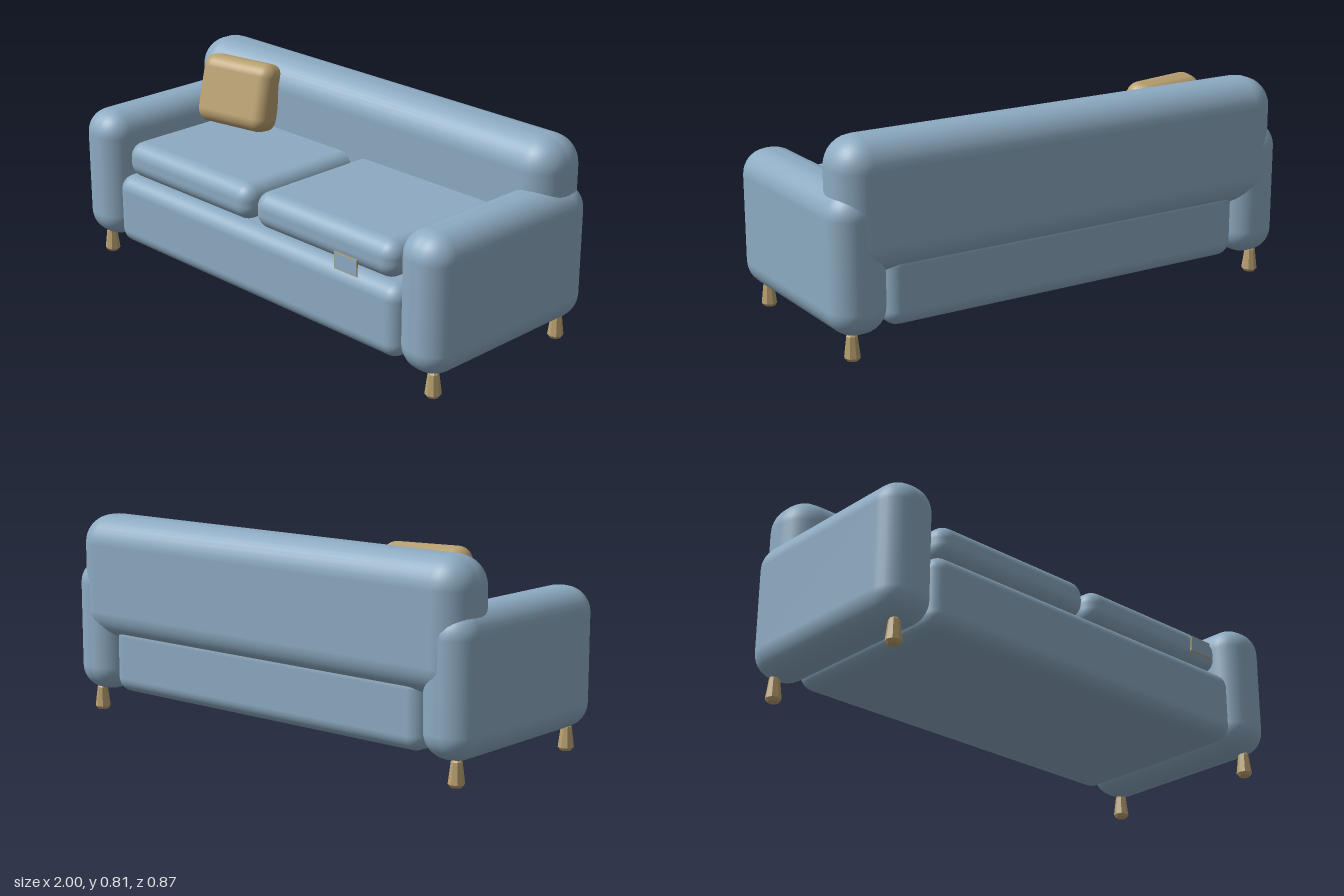
import * as THREE from 'three';
import { RoundedBoxGeometry } from 'three/addons/geometries/RoundedBoxGeometry.js';

export function createModel() {
  const sofa = new THREE.Group();
  sofa.name = 'sofa';

  const fabric = new THREE.MeshStandardMaterial({ color: 0x8dabc2 });
  fabric.name = 'blueFabric';
  const tan = new THREE.MeshStandardMaterial({ color: 0xb9a070 });
  tan.name = 'tan';

  const add = (name, geometry, material, x, y, z) => {
    const mesh = new THREE.Mesh(geometry, material);
    mesh.name = name;
    mesh.position.set(x, y, z);
    sofa.add(mesh);
    return mesh;
  };

  // Padded block given by its limits on each axis
  const padded = (name, [x0, x1], [y0, y1], [z0, z1], radius, material = fabric) =>
    add(name, new RoundedBoxGeometry(x1 - x0, y1 - y0, z1 - z0, 4, radius), material,
      (x0 + x1) / 2, (y0 + y1) / 2, (z0 + z1) / 2);

  // Body
  padded('base', [-0.79, 0.79], [0.10, 0.388], [-0.40, 0.40], 0.06);
  padded('backrest', [-0.97, 0.97], [0.31, 0.813], [-0.435, -0.178], 0.115);
  padded('rightArm', [-1, -0.777], [0.09, 0.63], [-0.43, 0.42], 0.1);
  padded('leftArm', [0.777, 1], [0.09, 0.63], [-0.43, 0.42], 0.1);

  // Seat cushions
  padded('rightSeatCushion', [-0.75, -0.012], [0.388, 0.535], [-0.24, 0.377], 0.062);
  padded('leftSeatCushion', [0.008, 0.745], [0.388, 0.535], [-0.24, 0.377], 0.062);

  // Throw pillow leaning into the corner
  const pillow = add('throwPillow', new RoundedBoxGeometry(0.355, 0.285, 0.135, 4, 0.055), tan,
    -0.605, 0.664, -0.12);
  pillow.rotation.set(-0.27, 0.19, 0, 'YXZ');

  // Tapered faceted legs with a bevelled foot
  const legGeometry = new THREE.LatheGeometry([
    [0, 0], [0.022, 0], [0.031, 0.012], [0.021, 0.092], [0.015, 0.1], [0, 0.1],
  ].map(([r, y]) => new THREE.Vector2(r, y)), 8).toNonIndexed();
  legGeometry.computeVertexNormals();
  for (const x of [-0.915, 0.915]) {
    for (const z of [-0.348, 0.337]) {
      add(`${z > 0 ? 'front' : 'back'}${x > 0 ? 'Left' : 'Right'}Leg`, legGeometry, tan, x, 0, z);
    }
  }

  // Small tag in front of the seat: tan backing with a blue face
  add('tagBacking', new THREE.BoxGeometry(0.116, 0.068, 0.003), tan, 0.568, 0.431, 0.43);
  add('tagFace', new THREE.BoxGeometry(0.108, 0.06, 0.003), fabric, 0.568, 0.431, 0.4325);

  // Trim strips between the cushions and the arms
  add('rightTrim', new THREE.BoxGeometry(0.024, 0.006, 0.22), tan, -0.764, 0.386, 0.05);
  add('leftTrim', new THREE.BoxGeometry(0.024, 0.006, 0.23), tan, 0.758, 0.386, 0.155);

  return sofa;
}
